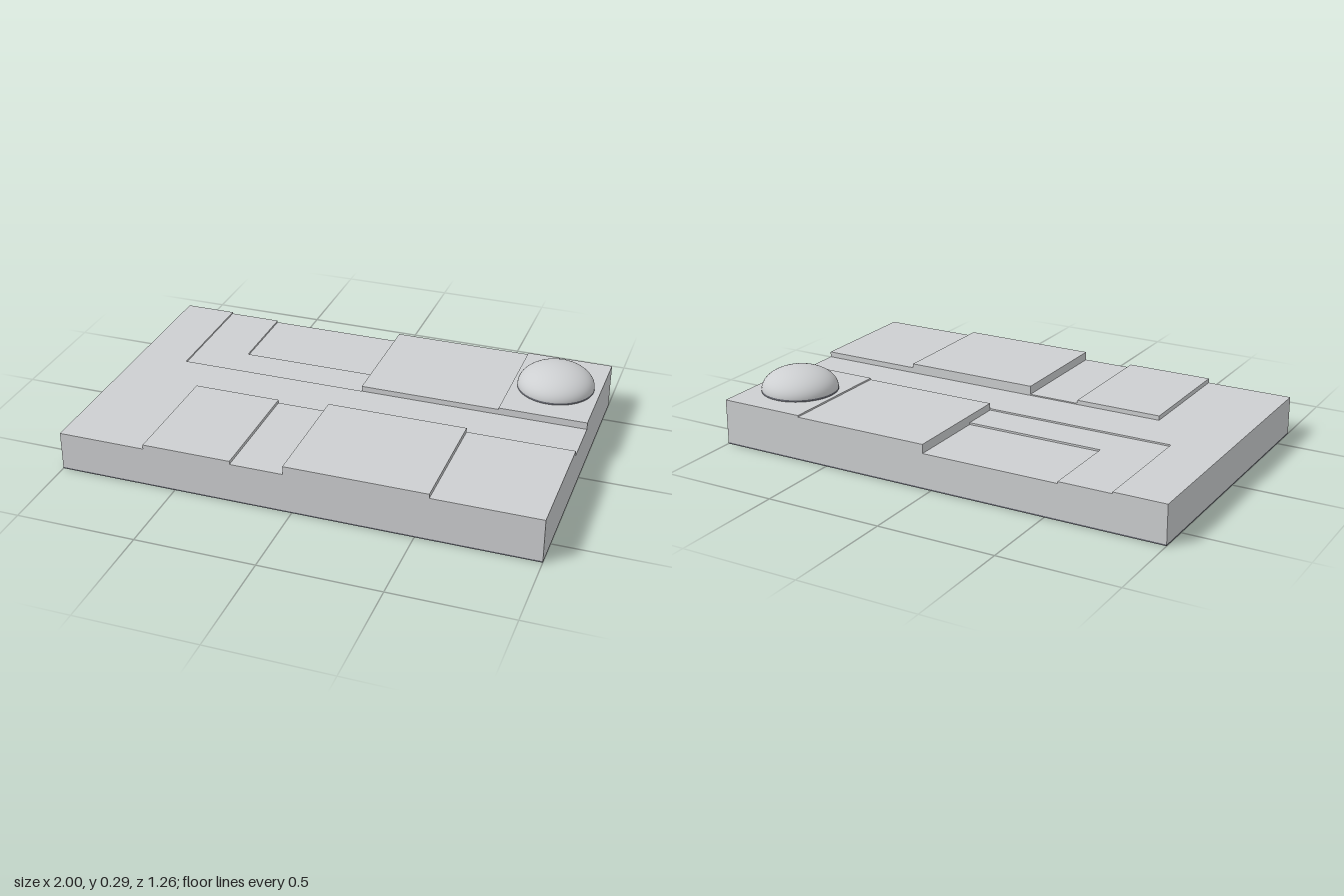
import * as THREE from 'three';

export function createModel() {
  const model = new THREE.Group();
  const makeMaterial = (name, color) => {
    const material = new THREE.MeshStandardMaterial({ color });
    material.name = name;
    return material;
  };
  const stone = makeMaterial('paleGrey', 0xcdcfd1);
  const dark = makeMaterial('darkSlate', 0x6a6c75);

  const edge = 0.63, back = -0.11, front = 0.11, plate = 0.006;

  // Thin dark plate under the whole model
  const basePlate = new THREE.Mesh(new THREE.BoxGeometry(2, plate, edge * 2), dark);
  basePlate.position.y = plate / 2;
  basePlate.name = 'basePlate';
  model.add(basePlate);

  // Each plot stands on the plate and rises to its own height
  const addPlot = (name, x0, x1, z0, z1, top) => {
    const mesh = new THREE.Mesh(new THREE.BoxGeometry(x1 - x0, top - plate, z1 - z0), stone);
    mesh.position.set((x0 + x1) / 2, (top + plate) / 2, (z0 + z1) / 2);
    mesh.name = name;
    model.add(mesh);
  };

  // Central lane and the level back corner
  addPlot('centralLane', -1, 1, back, front, 0.165);
  addPlot('backCorner', -1, -0.78, -edge, back, 0.165);

  // Sunken terraces at the back
  addPlot('upperTerraceSide', -0.78, -0.555, -edge, back, 0.158);
  addPlot('upperTerraceFront', -0.555, 0.035, -0.275, back, 0.158);
  addPlot('lowerTerrace', -0.555, 0.035, -edge, -0.275, 0.15);

  // Raised blocks at the back
  addPlot('backBlock', 0.035, 0.63, -edge, back, 0.188);
  addPlot('domeBlock', 0.63, 1, -edge, back, 0.195);

  // Row of blocks along the front, as [start x, height]
  const row = [[-1, 0.165], [-0.63, 0.184], [-0.257, 0.17], [-0.035, 0.206], [0.555, 0.188]];
  row.forEach(([x, height], i) => {
    const end = i < row.length - 1 ? row[i + 1][0] : 1;
    addPlot(`frontBlock${i + 1}`, x, end, front, edge, height);
  });

  // Flattened dome sitting on a thin dark ring
  const domeGroup = new THREE.Group();
  domeGroup.name = 'domeGroup';
  domeGroup.position.set(0.811, 0.195, -0.37);
  const ring = new THREE.Mesh(new THREE.CylinderGeometry(0.162, 0.162, 0.008, 48), dark);
  ring.position.y = 0.004;
  ring.name = 'domeRing';
  const dome = new THREE.Mesh(
    new THREE.SphereGeometry(0.162, 48, 20, 0, Math.PI * 2, 0, Math.PI / 2), stone);
  dome.scale.y = 0.092 / 0.162;
  dome.position.y = 0.008;
  dome.name = 'dome';
  domeGroup.add(ring, dome);
  model.add(domeGroup);

  return model;
}
